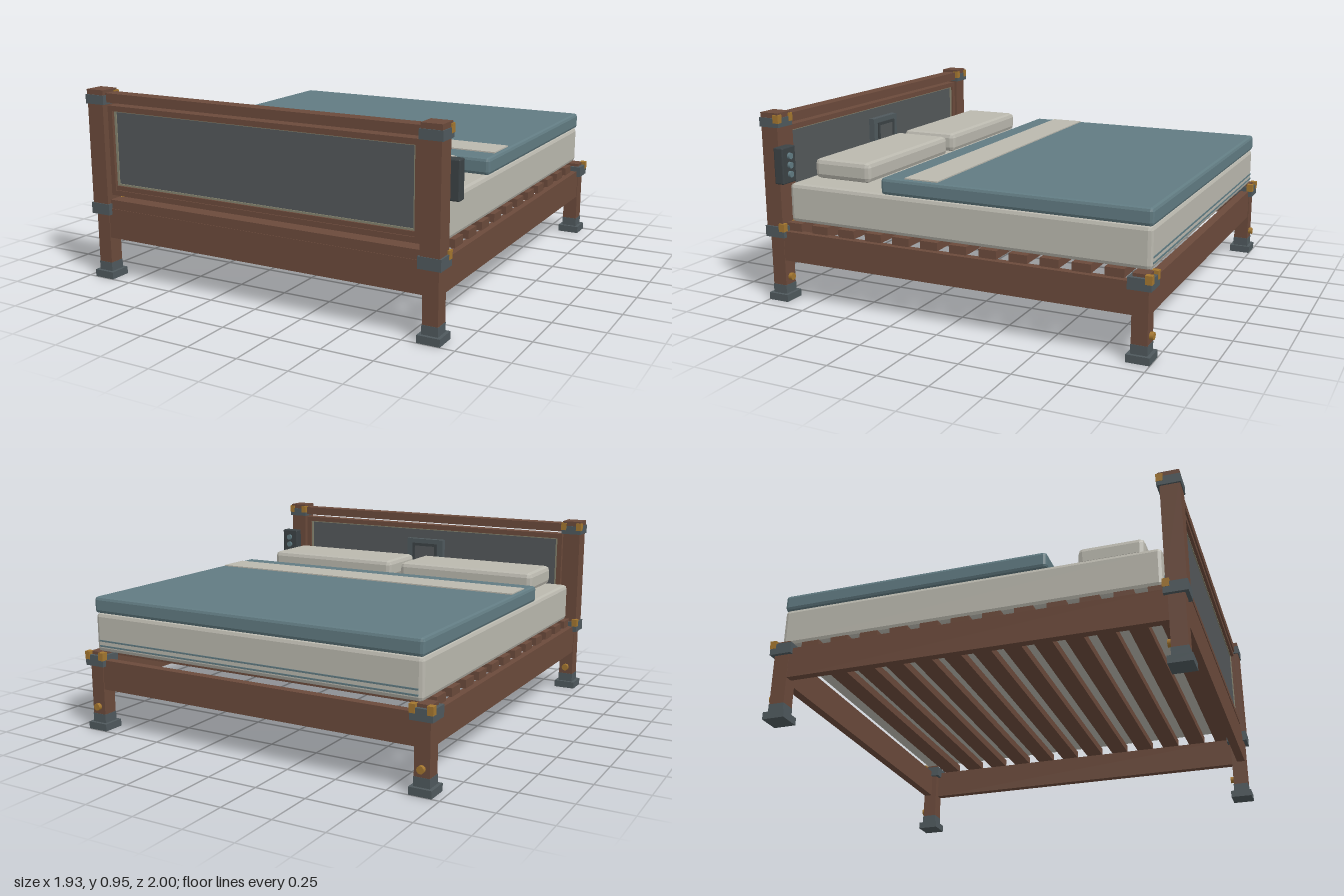
import * as THREE from 'three';
import { RoundedBoxGeometry } from 'three/addons/geometries/RoundedBoxGeometry.js';

const CX = -0.016; // centre line of the bed frame

export function createModel() {
  const mat = (name, color) => {
    const m = new THREE.MeshStandardMaterial({ color });
    m.name = name;
    return m;
  };
  const wood = mat('brown wood', 0x6b4a3b);
  const panelGrey = mat('panel grey', 0x54585a);
  const iron = mat('dark iron', 0x4f595d);
  const linen = mat('linen', 0xbab8ae);
  const teal = mat('teal cloth', 0x617b82);
  const brass = mat('brass', 0xa3762f);
  const trim = mat('muted trim', 0x85836f);
  const dark = mat('charcoal', 0x3b4245);

  const model = new THREE.Group();
  model.name = 'bed';

  // Box given by its limits on each axis
  const box = (name, m, x0, x1, y0, y1, z0, z1, parent = model, chamfer = 0) => {
    const s = [x1 - x0, y1 - y0, z1 - z0];
    const g = chamfer ? new RoundedBoxGeometry(...s, 1, chamfer) : new THREE.BoxGeometry(...s);
    if (chamfer) g.computeVertexNormals();
    const mesh = new THREE.Mesh(g, m);
    mesh.position.set((x0 + x1) / 2, (y0 + y1) / 2, (z0 + z1) / 2);
    mesh.name = name;
    parent.add(mesh);
    return mesh;
  };

  // Rectangular border facing z, with a bar width w
  const border = (name, m, x0, x1, y0, y1, z0, z1, w, parent = model) => {
    const g = new THREE.Group();
    g.name = name;
    box('topBar', m, x0, x1, y1 - w, y1, z0, z1, g);
    box('bottomBar', m, x0, x1, y0, y0 + w, z0, z1, g);
    box('rightBar', m, x0, x0 + w, y0 + w, y1 - w, z0, z1, g);
    box('leftBar', m, x1 - w, x1, y0 + w, y1 - w, z0, z1, g);
    parent.add(g);
  };

  // Square column part around a leg axis
  const column = (name, m, x, z, half, y0, y1, parent) =>
    box(name, m, x - half, x + half, y0, y1, z - half, z + half, parent);

  // Metal collar with brass corner pieces on its rear edge
  const collar = (name, x, z, y0, y1, parent) => {
    column(name, iron, x, z, 0.055, y0, y1, parent);
    for (const s of [-1, 1]) {
      const c = x + s * 0.042;
      box('brassCorner', brass, c - 0.0145, c + 0.0145, y1 - 0.024, y1 + 0.016, z - 0.057, z - 0.025, parent);
    }
  };

  // Legs, collars and headboard posts
  for (const sx of [-1, 1]) {
    for (const sz of [-1, 1]) {
      const x = CX + sx * 0.892, z = sz * 0.944;
      const leg = new THREE.Group();
      leg.name = (sz > 0 ? 'front' : 'back') + (sx > 0 ? 'Left' : 'Right') + 'Leg';
      column('foot', iron, x, z, 0.055, 0, 0.036, leg);
      column('boot', iron, x, z, 0.039, 0.036, 0.08, leg);
      column('legShaft', wood, x, z, 0.0375, 0.08, 0.4, leg);
      collar('legCollar', x, z, 0.33, 0.385, leg);
      const stud = new THREE.Mesh(new THREE.CylinderGeometry(0.018, 0.018, 0.02, 12), brass);
      stud.rotation.x = Math.PI / 2;
      stud.position.set(x, 0.118, z - 0.046);
      stud.name = 'legStud';
      leg.add(stud);
      if (sz > 0) {
        column('post', wood, x, z + 0.004, 0.0465, 0.385, 0.92, leg);
        collar('postCollar', x, z, 0.88, 0.925, leg);
        column('postCap', wood, x, z, 0.05, 0.925, 0.95, leg);
      }
      model.add(leg);
    }
    // Side rails
    const xr = CX + sx * 0.907;
    box('sideRail', wood, xr - 0.02, xr + 0.02, 0.21, 0.36, -0.91, 0.91);
  }

  // End rails
  box('backRail', wood, CX - 0.856, CX + 0.856, 0.21, 0.36, -0.978, -0.935);
  box('frontRail', wood, CX - 0.856, CX + 0.856, 0.21, 0.36, 0.935, 0.978);

  // Slats
  for (let i = 0; i < 12; i++) {
    const z = 0.862 - i * 0.1525;
    box('slat', wood, CX - 0.9, CX + 0.9, 0.36, 0.4, z - 0.045, z + 0.045);
  }

  // Headboard
  const head = new THREE.Group();
  head.name = 'headboard';
  box('bottomRail', wood, CX - 0.85, CX + 0.85, 0.36, 0.405, 0.91, 0.975, head);
  box('topRail', wood, CX - 0.85, CX + 0.85, 0.89, 0.935, 0.905, 0.977, head);
  border('outerFrame', wood, CX - 0.836, CX + 0.836, 0.43, 0.875, 0.91, 0.972, 0.026, head);
  box('lowerInnerRail', wood, CX - 0.81, CX + 0.81, 0.456, 0.478, 0.915, 0.966, head);
  border('panelTrim', trim, CX - 0.811, CX + 0.811, 0.474, 0.856, 0.92, 0.957, 0.013, head);
  box('panel', panelGrey, CX - 0.8, CX + 0.8, 0.48, 0.85, 0.925, 0.952, head);
  model.add(head);

  // Framed plaque in the middle of the headboard's inner face
  const plaque = new THREE.Group();
  plaque.name = 'centrePlaque';
  box('plaqueBase', iron, CX - 0.115, CX + 0.115, 0.5, 0.79, 0.892, 0.926, plaque);
  border('plaqueBorder', dark, CX - 0.08, CX + 0.08, 0.54, 0.765, 0.885, 0.893, 0.016, plaque);
  box('plaqueInset', panelGrey, CX - 0.064, CX + 0.064, 0.556, 0.749, 0.888, 0.893, plaque);
  model.add(plaque);

  // Control box on the back of the left post
  const control = new THREE.Group();
  control.name = 'controlBox';
  box('controlCase', dark, 0.862, 0.963, 0.61, 0.79, 0.848, 0.9, control, 0.006);
  for (const y of [0.655, 0.7, 0.745]) {
    const b = new THREE.Mesh(new THREE.CylinderGeometry(0.016, 0.016, 0.014, 12), teal);
    b.rotation.x = Math.PI / 2;
    b.position.set(0.912, y, 0.842);
    b.name = 'controlButton';
    control.add(b);
  }
  model.add(control);

  // Mattress with piping across both ends
  box('mattress', linen, CX - 0.889, CX + 0.889, 0.402, 0.597, -0.977, 0.886, model, 0.02);
  for (const y of [0.432, 0.458]) {
    for (const z of [-0.977, 0.886]) {
      box('piping', teal, CX - 0.868, CX + 0.868, y - 0.004, y + 0.004, z - 0.003, z + 0.003);
    }
  }

  // Blanket and its stripe
  box('blanket', teal, CX - 0.891, CX + 0.891, 0.595, 0.677, -0.98, 0.358, model, 0.016);
  box('blanketStripe', linen, CX - 0.869, CX + 0.869, 0.675, 0.683, 0.065, 0.238);

  // Pillows
  for (const s of [-1, 1]) {
    const x = -0.024 + s * 0.419;
    box('pillow', linen, x - 0.388, x + 0.388, 0.612, 0.712, 0.482, 0.797, model, 0.024);
  }
  return model;
}
